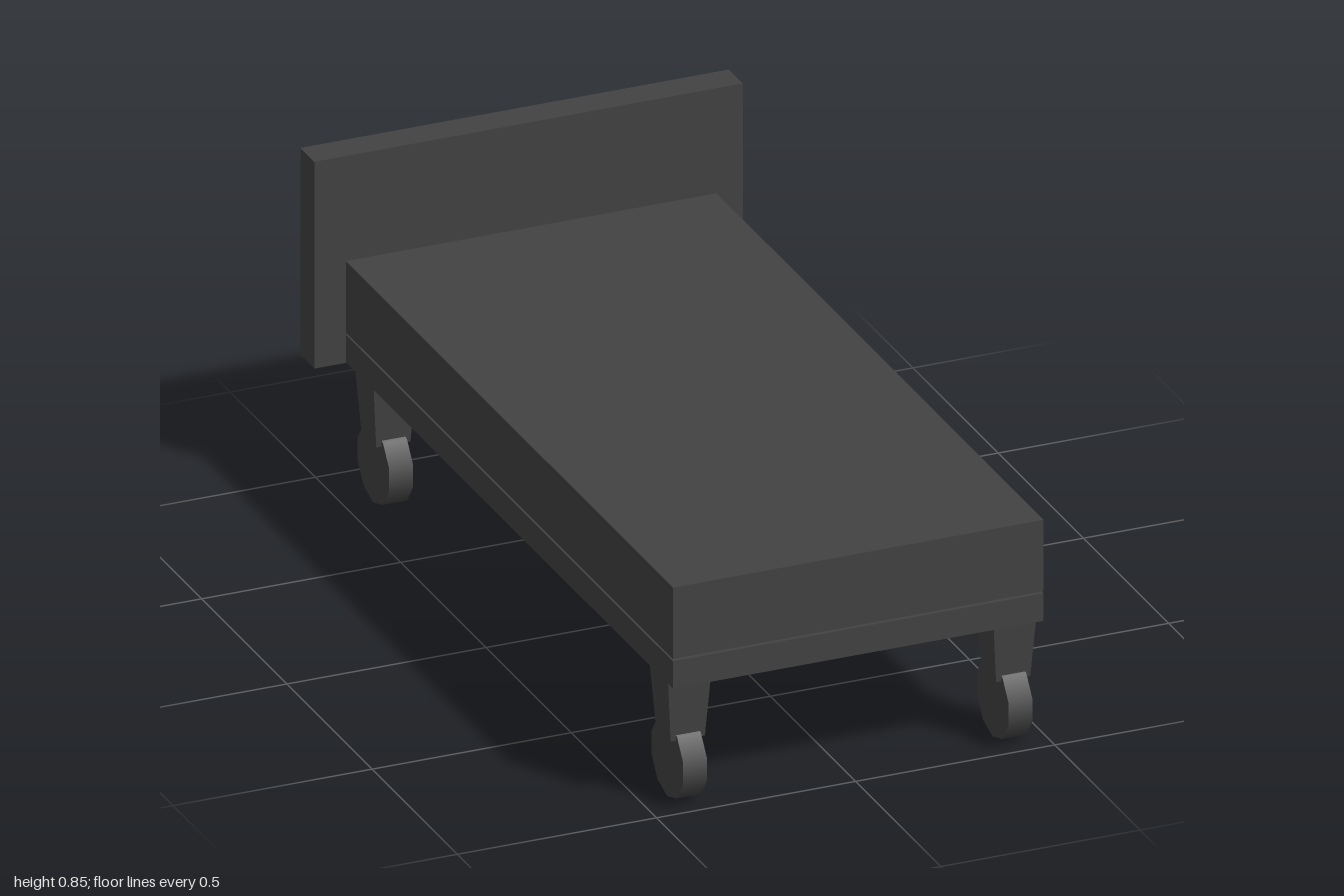
import * as THREE from 'three';

export function createModel() {
  const model = new THREE.Group();
  const charcoal = new THREE.MeshStandardMaterial({ color: 0x424242 });
  charcoal.name = 'charcoal';

  const add = (name, geometry, x, y, z) => {
    const mesh = new THREE.Mesh(geometry, charcoal);
    mesh.name = name;
    mesh.position.set(x, y, z);
    model.add(mesh);
  };

  // Box given by its minimum and maximum corners
  const slab = (name, [x0, y0, z0], [x1, y1, z1]) =>
    add(name, new THREE.BoxGeometry(x1 - x0, y1 - y0, z1 - z0),
      (x0 + x1) / 2, (y0 + y1) / 2, (z0 + z1) / 2);

  // Base and mattress, with a narrow gap between them
  slab('bedBase', [-0.459, 0.322, -0.918], [0.472, 0.392, 1]);
  slab('mattress', [-0.459, 0.398, -0.918], [0.472, 0.58, 1]);
  slab('headboard', [-0.538, 0.32, -1], [0.538, 0.848, -0.918]);

  // Square leg tapering towards the floor
  const legTop = 0.322, legBottom = 0.163;
  const legShape = new THREE.CylinderGeometry(
    0.054 * Math.SQRT2, 0.043 * Math.SQRT2, legTop - legBottom, 4)
    .rotateY(Math.PI / 4).toNonIndexed();
  legShape.computeVertexNormals();

  // Ten-sided wheel with its axle along x and a corner on the floor
  const radius = 0.097;
  const wheelShape = new THREE.CylinderGeometry(radius, radius, 0.06, 10, 1, false, Math.PI / 2)
    .rotateZ(Math.PI / 2);

  for (const [side, x] of [['Right', -0.401], ['Left', 0.416]]) {
    for (const [end, legZ, wheelZ] of [['front', 0.909, 0.902], ['back', -0.818, -0.822]]) {
      add(`${end}${side}Leg`, legShape, x, (legTop + legBottom) / 2, legZ);
      add(`${end}${side}Wheel`, wheelShape, x, radius, wheelZ);
    }
  }
  return model;
}
